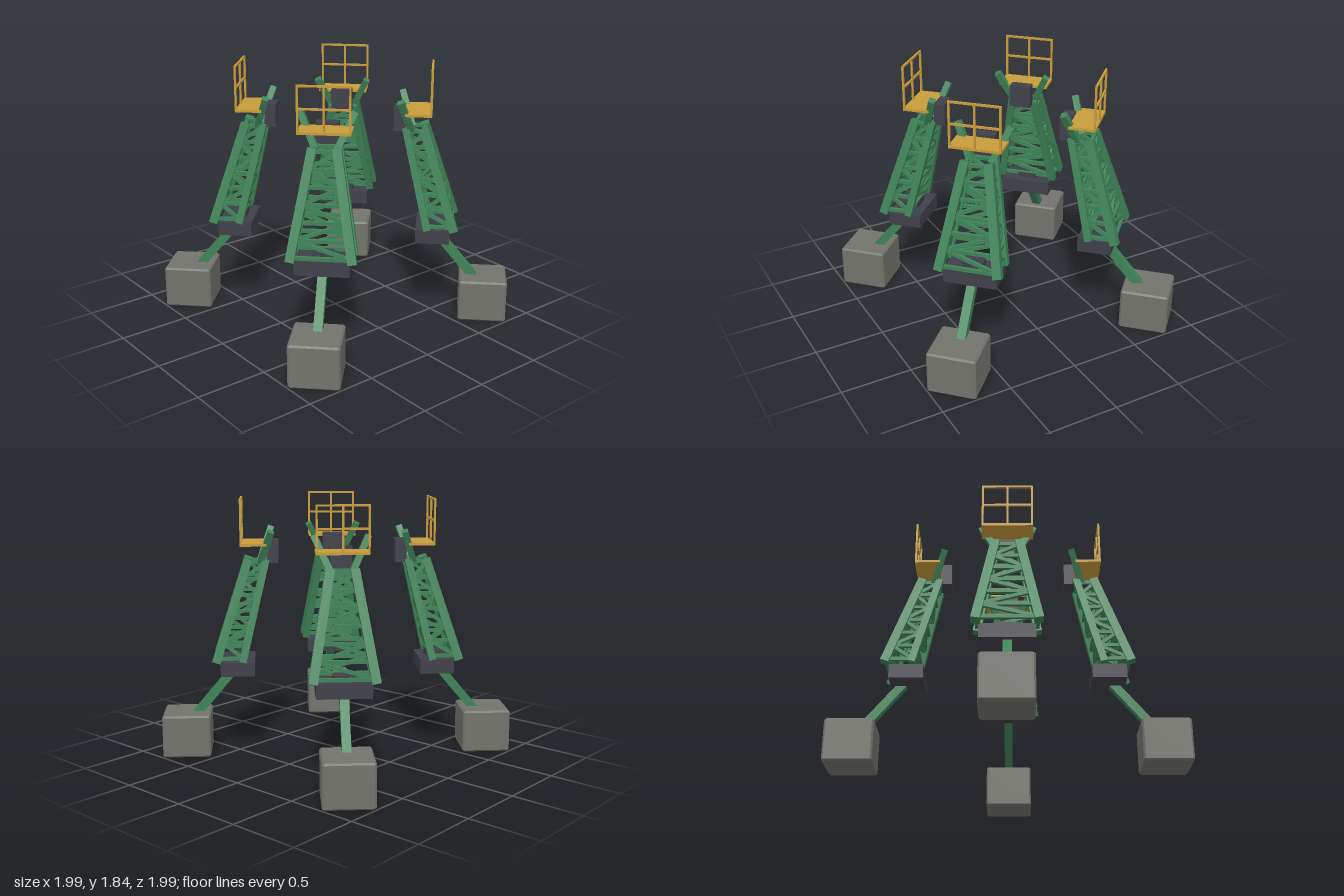
import * as THREE from 'three';

const mat = (name, color) => {
  const m = new THREE.MeshStandardMaterial({ color });
  m.name = name;
  return m;
};

export function createModel() {
  const green = mat('green steel', 0x3f8458);
  const dark = mat('dark steel', 0x40404a);
  const concrete = mat('concrete', 0x73746c);
  const yellow = mat('yellow paint', 0xc99c3a);
  const V = (x, y, z) => new THREE.Vector3(x, y, z);

  const box = (parent, name, material, w, h, d, x, y, z) => {
    const m = new THREE.Mesh(new THREE.BoxGeometry(w, h, d), material);
    m.name = name;
    m.position.set(x, y, z);
    parent.add(m);
    return m;
  };

  // Square bar from a to b; hint sets the roll of its cross-section
  const beam = (parent, name, a, b, size, hint = V(1, 0, 0)) => {
    const m = new THREE.Mesh(new THREE.BoxGeometry(size, a.distanceTo(b), size), green);
    const y = b.clone().sub(a).normalize();
    const z = hint.clone().cross(y).normalize();
    const x = y.clone().cross(z);
    m.quaternion.setFromRotationMatrix(new THREE.Matrix4().makeBasis(x, y, z));
    m.position.copy(a).add(b).multiplyScalar(0.5);
    m.name = name;
    parent.add(m);
  };

  // Block with bevelled edges, standing on y = 0
  const chamferBlock = (side, height, c) => {
    const h = side / 2;
    const s = new THREE.Shape([
      [-h + c, -h], [h - c, -h], [h, -h + c], [h, h - c],
      [h - c, h], [-h + c, h], [-h, h - c], [-h, -h + c],
    ].map(([x, y]) => new THREE.Vector2(x, y)));
    return new THREE.ExtrudeGeometry(s, {
      depth: height - 2 * c, bevelEnabled: true, bevelSegments: 1,
      bevelThickness: c, bevelSize: c, bevelOffset: -c,
    }).translate(0, 0, c).rotateX(-Math.PI / 2);
  };

  // One leg, built with +z pointing away from the centre
  const buildLeg = () => {
    const leg = new THREE.Group();

    // Foot and slanted strut
    const foot = new THREE.Mesh(chamferBlock(0.34, 0.305, 0.012), concrete);
    foot.name = 'footing';
    foot.position.z = 1.08;
    leg.add(foot);
    beam(leg, 'strut', V(0, 0.24, 1.05), V(0, 0.67, 0.69), 0.06);

    // Base under the tower
    box(leg, 'base', dark, 0.37, 0.1, 0.24, 0, 0.645, 0.707);
    box(leg, 'basePad', dark, 0.14, 0.04, 0.12, 0, 0.715, 0.707);

    // Four tapering corner chords
    const tower = new THREE.Group();
    tower.name = 'latticeTower';
    leg.add(tower);
    const chords = [
      [V(-0.205, 0.7, 0.856), V(-0.081, 1.41, 0.626), 0.06],
      [V(0.205, 0.7, 0.856), V(0.081, 1.41, 0.626), 0.06],
      [V(0.2, 0.7, 0.67), V(0.081, 1.41, 0.5), 0.05],
      [V(-0.2, 0.7, 0.67), V(-0.081, 1.41, 0.5), 0.05],
    ];
    chords.forEach(([a, b, s]) => beam(tower, 'chord', a, b, s));

    // Rungs and zigzag braces on all four faces
    const bays = 6;
    const at = (i, k) => chords[i][0].clone().lerp(chords[i][1], 0.04 + 0.93 * k / bays);
    for (let i = 0; i < 4; i++) {
      const j = (i + 1) % 4;
      const hint = i % 2 ? V(1, 0, 0) : V(0, 0, 1);
      for (let k = 0; k <= bays; k++) {
        beam(tower, 'rung', at(i, k), at(j, k), 0.024, hint);
        if (k === bays) continue;
        const [p, q] = k % 2 ? [i, j] : [j, i];
        beam(tower, 'brace', at(p, k), at(q, k + 1), 0.024, hint);
      }
    }

    // Horns and head box at the top
    for (const s of [-1, 1]) {
      beam(leg, 'horn', V(s * 0.07, 1.38, 0.545), V(s * 0.182, 1.615, 0.462), 0.044, V(0, 0, 1));
    }
    box(leg, 'headBox', dark, 0.152, 0.16, 0.08, 0, 1.465, 0.452);

    // Work platform with railing on its outer edge
    box(leg, 'platform', yellow, 0.354, 0.018, 0.185, 0, 1.521, 0.587);
    const railing = new THREE.Group();
    railing.name = 'railing';
    leg.add(railing);
    for (const x of [-0.17, 0, 0.17]) {
      box(railing, 'railPost', yellow, 0.014, 0.305, 0.014, x, 1.6825, 0.672);
    }
    for (const y of [1.68, 1.83]) {
      box(railing, 'rail', yellow, 0.354, 0.014, 0.014, 0, y, 0.672);
    }
    return leg;
  };

  const model = new THREE.Group();
  model.name = 'supportTowers';
  ['frontLeftLeg', 'backLeftLeg', 'backRightLeg', 'frontRightLeg'].forEach((name, i) => {
    const leg = buildLeg();
    leg.name = name;
    leg.rotation.y = Math.PI / 4 + i * Math.PI / 2;
    model.add(leg);
  });
  return model;
}
